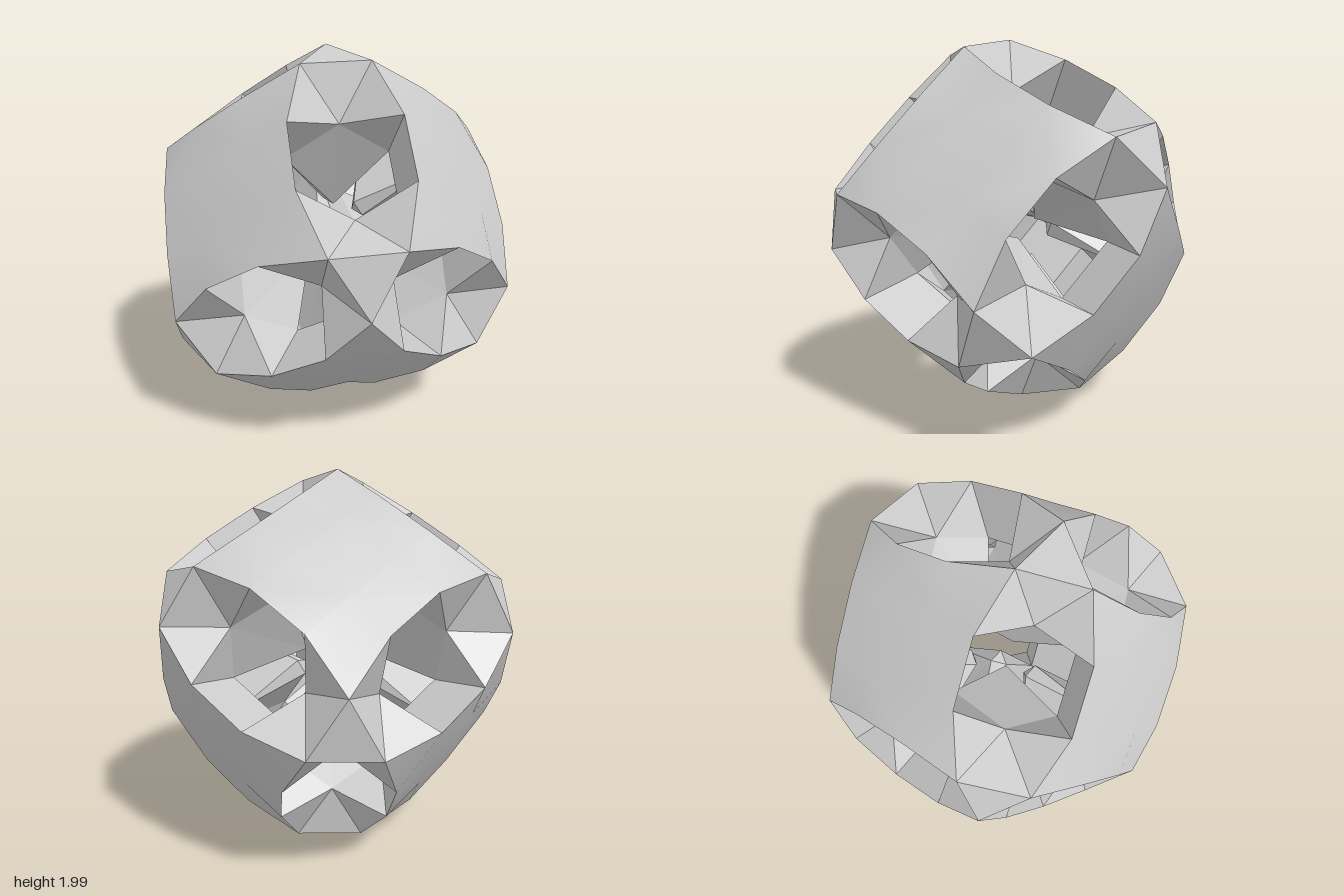
import * as THREE from 'three';

const V = (x, y, z) => new THREE.Vector3(x, y, z);

// Key points of the cube-like cage, in its own axes
const CORNER_IN = 0.484, CORNER_OUT = 0.726;              // patch corners
const MID_ALONG = 0.168, MID_IN = 0.426, MID_OUT = 0.804; // patch side points
const APEX_ALONG = 0.25, APEX = 0.487;                    // opening end points
const BASE_IN = 0.18, BASE_OUT = 0.55;                    // inner ends of the blocks
const SPIKE = 0.27;                                       // reach of the corner spikes
const CROWN = 0.81;                                       // middle of a patch

// Cyclic axis permutation, k = 0, 1, 2
const turn = (p, k) => k === 0 ? p : k === 1 ? V(p.z, p.x, p.y) : V(p.y, p.z, p.x);

// Adds a flat triangle, reversed where a part is mirrored
function addTri(list, a, b, c, flip) {
  for (const p of flip ? [a, c, b] : [a, b, c]) list.push(p.x, p.y, p.z);
}

function flatMesh(list, material, name) {
  const g = new THREE.BufferGeometry();
  g.setAttribute('position', new THREE.Float32BufferAttribute(list, 3));
  g.computeVertexNormals();
  const mesh = new THREE.Mesh(g, material);
  mesh.name = name;
  return mesh;
}

// Smooth four-pointed patch covering one side
function patchMesh(axis, sign, material) {
  const pos = [], index = [];
  const s = [-1, -1, 1, 1];
  for (let j = 0; j < 4; j++) for (let i = 0; i < 4; i++) {
    const endI = i % 3 === 0, endJ = j % 3 === 0;
    let p;
    if (endI && endJ) p = V(s[i] * CORNER_IN, s[j] * CORNER_IN, CORNER_OUT);
    else if (endJ) p = V(s[i] * MID_ALONG, s[j] * MID_IN, MID_OUT);
    else if (endI) p = V(s[i] * MID_IN, s[j] * MID_ALONG, MID_OUT);
    else p = V(s[i] * MID_ALONG, s[j] * MID_ALONG, CROWN);
    p.z *= sign;
    p = turn(p, axis);
    pos.push(p.x, p.y, p.z);
  }
  const tri = (a, b, c) => index.push(...(sign < 0 ? [a, c, b] : [a, b, c]));
  for (let j = 0; j < 3; j++) for (let i = 0; i < 3; i++) {
    const a = j * 4 + i, b = a + 1, d = a + 4, c = a + 5;
    if ((i + j) % 2 === 0) { tri(a, b, c); tri(a, c, d); }
    else { tri(a, b, d); tri(b, c, d); }
  }
  const g = new THREE.BufferGeometry();
  g.setAttribute('position', new THREE.Float32BufferAttribute(pos, 3));
  g.setIndex(index);
  g.computeVertexNormals();
  const mesh = new THREE.Mesh(g, material);
  mesh.name = 'sidePatch';
  return mesh;
}

export function createModel() {
  const grey = new THREE.MeshStandardMaterial({ color: 0xcccccc });
  grey.name = 'plain grey';

  const cage = new THREE.Group();
  cage.name = 'cage';
  const corners = [], fans = [], walls = [], spikes = [], bases = [];
  const signs = [1, -1];

  // Six side patches, each with the square inner end of its block
  for (let k = 0; k < 3; k++) for (const s of signs) {
    cage.add(patchMesh(k, s, grey));
    const [a, b, c, d] = [[-1, 1], [1, 1], [1, -1], [-1, -1]].map(([x, y]) =>
      turn(V(x * BASE_IN, y * BASE_IN, s * BASE_OUT), k));
    addTri(bases, a, b, c, s < 0);
    addTri(bases, a, c, d, s < 0);
  }

  // Eight corners: outer triangle and the inward spike behind it
  for (const x of signs) for (const y of signs) for (const z of signs) {
    const flip = x * y * z < 0;
    const three = (a, b, c) => [0, 1, 2].map(k => turn(V(a, b, c), k).multiply(V(x, y, z)));
    addTri(corners, ...three(CORNER_IN, CORNER_IN, CORNER_OUT), flip);
    const base = three(BASE_IN, BASE_IN, BASE_OUT);
    const tip = three(APEX_ALONG * SPIKE, APEX * SPIKE, APEX * SPIKE);
    base.forEach((p, k) => addTri(spikes, p, tip[k], tip[(k + 1) % 3], flip));
    addTri(spikes, tip[1], tip[0], tip[2], flip);
  }

  // Twelve edge openings
  for (let k = 0; k < 3; k++) for (const y of signs) for (const z of signs) {
    const at = (a, b, c) => turn(V(a, b * y, c * z), k);

    // A fan of facets round the apex at each end, running down the spike
    for (const x of signs) {
      const apex = at(x * APEX_ALONG, APEX, APEX);
      const rim = [
        at(x * MID_ALONG, MID_IN, MID_OUT), at(x * CORNER_IN, CORNER_IN, CORNER_OUT),
        at(x * CORNER_IN, CORNER_OUT, CORNER_IN), at(x * MID_ALONG, MID_OUT, MID_IN),
        at(x * BASE_IN, BASE_OUT, BASE_IN), apex.clone().multiplyScalar(SPIKE),
        at(x * BASE_IN, BASE_IN, BASE_OUT)];
      rim.forEach((p, i) => addTri(fans, p, rim[(i + 1) % 7], apex, x * y * z < 0));
    }

    // Walls running inward from the two patch sides
    const wall = (a, b, c, d) => {
      addTri(walls, a, b, c, y * z < 0);
      addTri(walls, a, c, d, y * z < 0);
    };
    wall(at(MID_ALONG, MID_IN, MID_OUT), at(BASE_IN, BASE_IN, BASE_OUT),
      at(-BASE_IN, BASE_IN, BASE_OUT), at(-MID_ALONG, MID_IN, MID_OUT));
    wall(at(BASE_IN, BASE_OUT, BASE_IN), at(MID_ALONG, MID_OUT, MID_IN),
      at(-MID_ALONG, MID_OUT, MID_IN), at(-BASE_IN, BASE_OUT, BASE_IN));
  }

  cage.add(
    flatMesh(corners, grey, 'cornerTriangles'),
    flatMesh(fans, grey, 'openingFans'),
    flatMesh(walls, grey, 'openingWalls'),
    flatMesh(spikes, grey, 'cornerSpikes'),
    flatMesh(bases, grey, 'blockBases'));

  // Tilt the cage and stand it on the ground
  const u = V(0.862, 0.497, -0.1).normalize();
  const n = V(-0.152, 0.448, 0.881).normalize();
  const v = n.clone().cross(u).normalize();
  u.crossVectors(v, n);
  cage.quaternion.setFromRotationMatrix(new THREE.Matrix4().makeBasis(u, v, n));
  cage.position.y = 1;

  const model = new THREE.Group();
  model.name = 'model';
  model.add(cage);
  return model;
}
